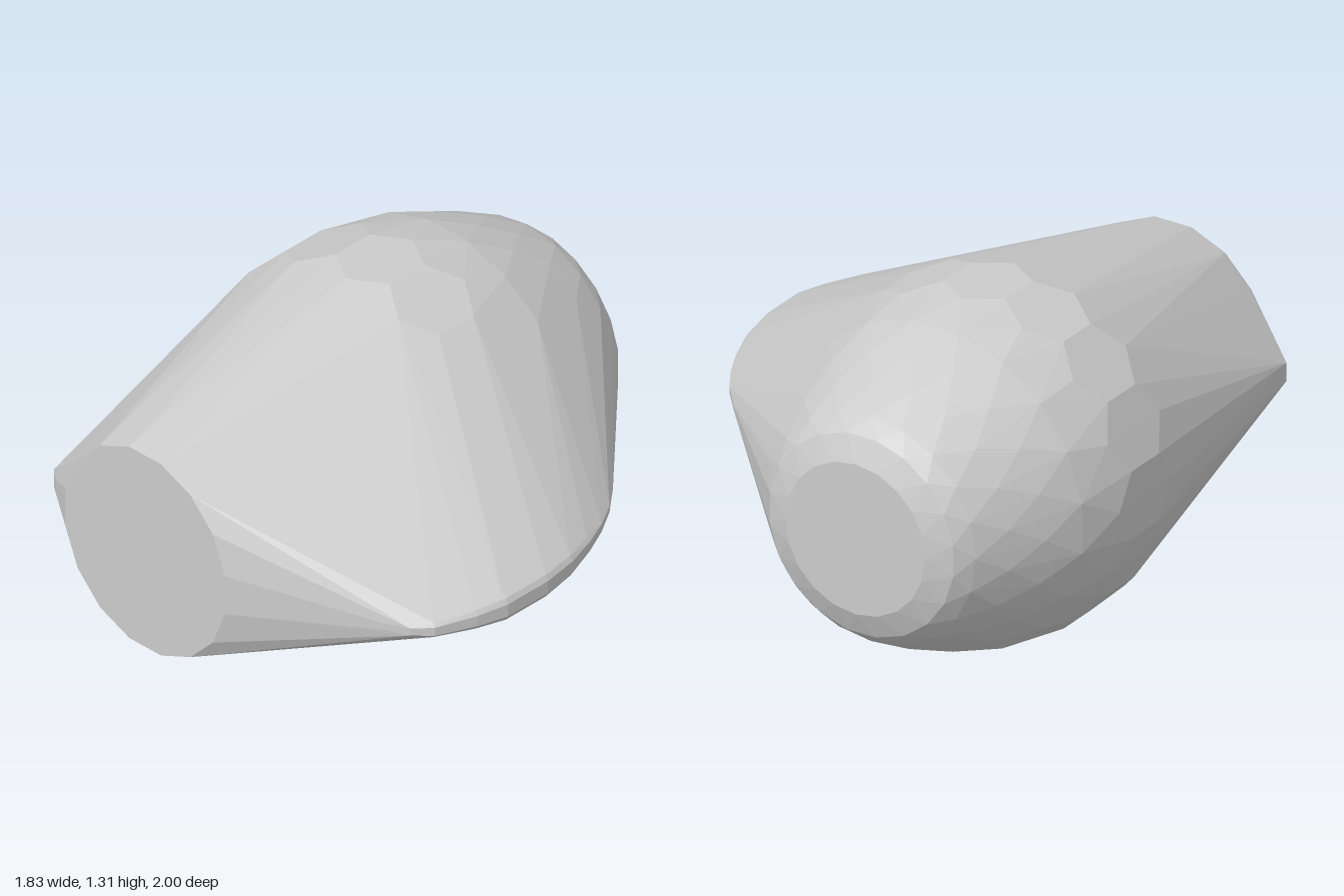
import * as THREE from 'three';
import { ConvexGeometry } from 'three/addons/geometries/ConvexGeometry.js';

const CX = -0.26, CY = 0.654;

// Ring of points around the main axis (parallel to z)
function ring(z, r, sides, turn = 0, rx = r) {
  return Array.from({ length: sides }, (_, i) => {
    const a = ((i + turn) / sides) * Math.PI * 2;
    return new THREE.Vector3(CX + rx * Math.cos(a), CY + r * Math.sin(a), z);
  });
}

export function createModel() {
  const group = new THREE.Group();
  const points = [];

  // Flat front face with a tiny bevel
  points.push(...ring(1, 0.41, 16, 0.5, 0.393));
  points.push(...ring(0.98, 0.415, 16, 0.5, 0.4));

  // Bulging body: [z, radius, sides, turn], closing to a flat back
  const bulge = [
    [0, 0.655, 16, 0], [-0.08, 0.667, 16, 0.5], [-0.25, 0.667, 16, 0.5],
    [-0.33, 0.655, 16, 0], [-0.5, 0.62, 20, 0.5], [-0.65, 0.56, 20, 0],
    [-0.78, 0.5, 20, 0.5], [-0.9, 0.435, 20, 0], [-0.96, 0.385, 20, 0.5],
    [-1, 0.29, 20, 0],
  ];
  for (const b of bulge) points.push(...ring(...b));

  // Rounded rim of the side wing, in plan [x, z]
  const rim = [
    [0.67, 0.77], [0.76, 0.73], [0.82, 0.67], [0.88, 0.52], [0.91, 0.4], [0.91, 0.2],
    [0.885, 0.05], [0.84, -0.08], [0.79, -0.19], [0.73, -0.29], [0.64, -0.4],
  ];
  for (const [x, z] of rim) {
    // Small semicircular edge, pulled inwards above and below
    const k = Math.min(1, (0.95 - Math.abs(z - 0.25)) / 0.8);
    for (const [inset, dy] of [[0, 0.025], [0.012, 0.045], [0.04, 0.062]]) {
      for (const s of [-1, 1]) {
        points.push(new THREE.Vector3(x - inset, 0.67 + s * dy * k, z - (z - 0.25) * inset));
      }
    }
  }

  // Small blunt corner on the opposite side, near the front
  for (const [x, z, dy] of [[-0.8, 0.86, 0.04], [-0.795, 0.905, 0.035], [-0.75, 0.94, 0.03]]) {
    for (const s of [-1, 1]) points.push(new THREE.Vector3(x, 0.66 + s * dy, z));
  }

  const mesh = new THREE.Mesh(
    new ConvexGeometry(points),
    new THREE.MeshStandardMaterial({ color: 0xcccccc, flatShading: true })
  );
  mesh.name = 'body';
  group.add(mesh);
  group.name = 'facetedHull';
  return group;
}
